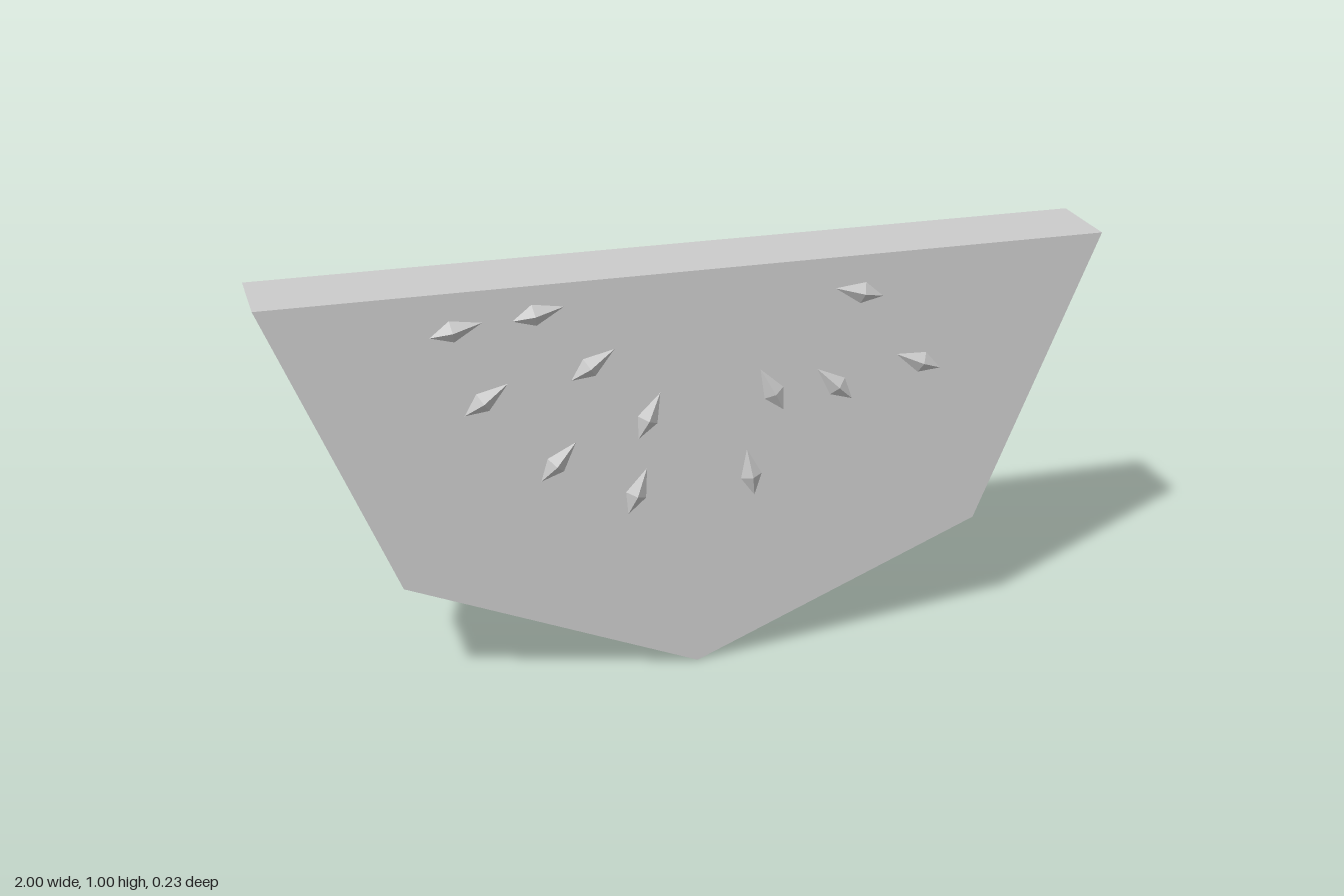
import * as THREE from 'three';

const HALF = 0.101; // half thickness of the slice
const material = new THREE.MeshStandardMaterial({ color: 0xcccccc, flatShading: true });

// Half-octagon slab: flat edge on top, point at the bottom
function createSlice() {
  const shape = new THREE.Shape();
  for (let i = 0; i <= 4; i++) {
    const a = Math.PI + (i * Math.PI) / 4;
    const x = Math.cos(a), y = 1 + Math.sin(a);
    if (i === 0) shape.moveTo(x, y);
    else shape.lineTo(x, y);
  }
  shape.closePath();
  const geometry = new THREE.ExtrudeGeometry(shape, { depth: 2 * HALF, bevelEnabled: false });
  geometry.translate(0, 0, -HALF);
  const slice = new THREE.Mesh(geometry, material);
  slice.name = 'slice';
  return slice;
}

// Faceted teardrop seed: +x is the short blunt end, -x the long tip
function createSeedGeometry() {
  const geometry = new THREE.OctahedronGeometry(1, 0);
  const p = geometry.attributes.position;
  for (let i = 0; i < p.count; i++) {
    const x = p.getX(i);
    p.setXYZ(i, x * (x > 0 ? 0.051 : 0.071), p.getY(i) * 0.026, p.getZ(i) * 0.016);
  }
  geometry.computeVertexNormals();
  return geometry;
}

// Each seed: outer end x, y and inner end x, y
const SEEDS = [
  [-0.62, 0.90, -0.50, 0.925], [-0.435, 0.92, -0.31, 0.945],
  [-0.55, 0.705, -0.445, 0.775], [-0.30, 0.765, -0.20, 0.83],
  [-0.375, 0.525, -0.295, 0.61], [-0.145, 0.60, -0.09, 0.715],
  [-0.17, 0.415, -0.125, 0.525], [0.14, 0.425, 0.12, 0.545],
  [0.21, 0.635, 0.15, 0.745], [0.38, 0.645, 0.29, 0.73],
  [0.60, 0.70, 0.49, 0.745], [0.45, 0.895, 0.33, 0.925],
];

export function createModel() {
  const model = new THREE.Group();
  model.name = 'fruitSlice';
  model.add(createSlice());

  // Seeds fan out on both faces
  const seedGeometry = createSeedGeometry();
  for (const side of [1, -1]) {
    const seeds = new THREE.Group();
    seeds.name = side > 0 ? 'frontSeeds' : 'backSeeds';
    for (const [ox, oy, ix, iy] of SEEDS) {
      const seed = new THREE.Mesh(seedGeometry, material);
      seed.name = 'seed';
      seed.position.set(ox + (ix - ox) * 0.42, oy + (iy - oy) * 0.42, side * HALF);
      seed.rotation.z = Math.atan2(oy - iy, ox - ix);
      seeds.add(seed);
    }
    model.add(seeds);
  }
  return model;
}
